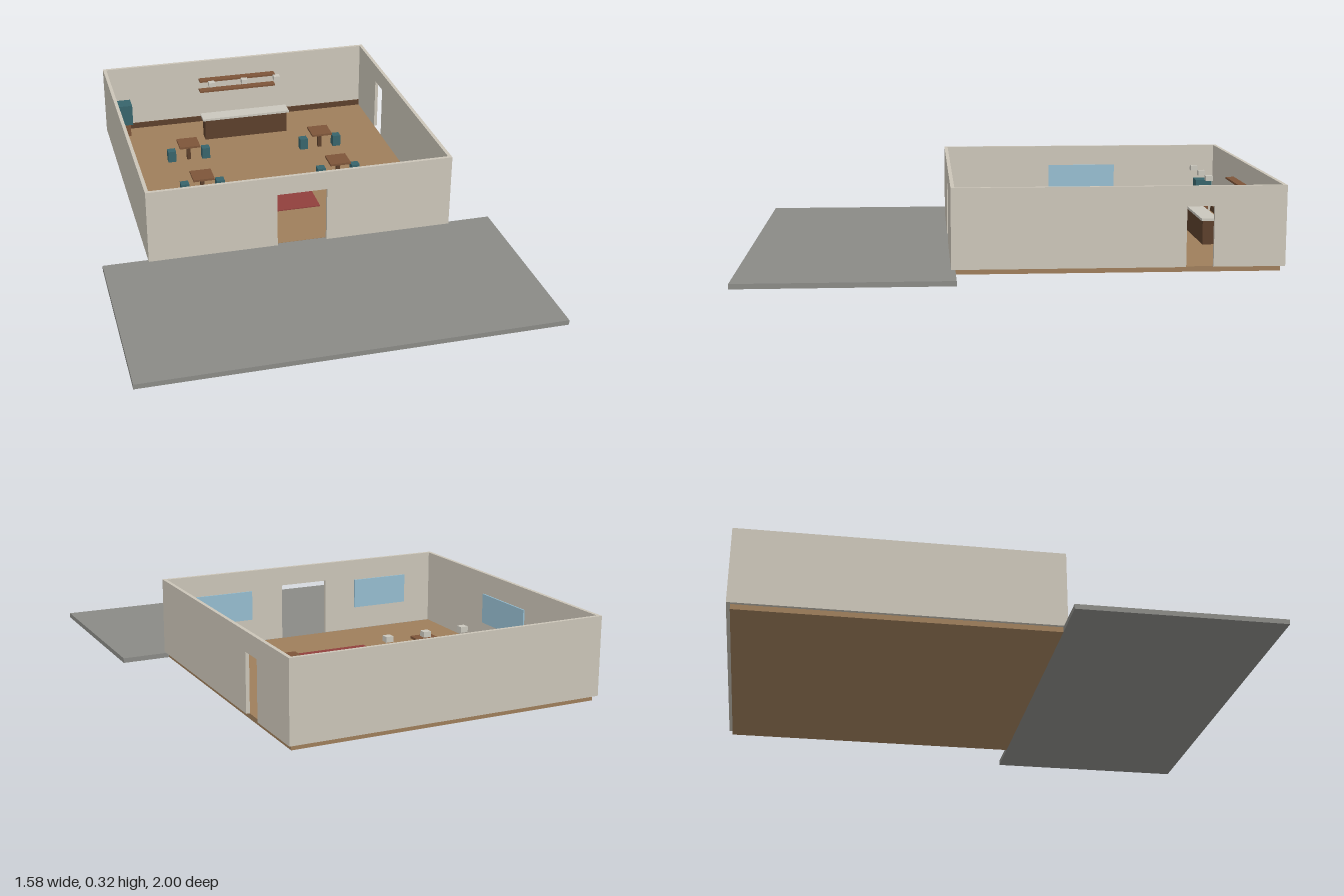
import * as THREE from 'three';

const mat = (name, color) => {
  const m = new THREE.MeshStandardMaterial({ color });
  m.name = name;
  return m;
};

export function createModel() {
  const cream = mat('cream plaster', 0xcbc5b8);
  const paving = mat('grey paving', 0x8a8a86);
  const boards = mat('floor boards', 0x9e7e5b);
  const wood = mat('table wood', 0x7d5539);
  const darkWood = mat('dark wood', 0x5b3f2b);
  const teal = mat('teal paint', 0x37646b);
  const red = mat('red rug', 0x903f3c);
  const glass = mat('window blue', 0x96bdd0);
  const stone = mat('counter stone', 0xcac7bd);

  const model = new THREE.Group();
  model.name = 'cafe';

  // Box given by its extents on each axis
  function box(name, material, [x0, x1], [y0, y1], [z0, z1], parent = model) {
    const mesh = new THREE.Mesh(new THREE.BoxGeometry(x1 - x0, y1 - y0, z1 - z0), material);
    mesh.position.set((x0 + x1) / 2, (y0 + y1) / 2, (z0 + z1) / 2);
    mesh.name = name;
    parent.add(mesh);
    return mesh;
  }
  const around = (c, size) => [c - size / 2, c + size / 2];

  // Ground
  const F = 0.02, TOP = 0.32, DOOR = 0.245;
  box('pavement', paving, [-0.79, 0.79], [0, 0.019], [0.21, 1]);
  box('floor', boards, [-0.6, 0.6], [0, F], [-0.985, 0.21]);
  box('rug', red, [-0.15, 0.147], [F, 0.024], [-0.24, -0.042]);

  // Wall drawn flat, with an optional doorway cut up from its foot
  function wall(name, a, b, door) {
    const pts = [[a, F]];
    if (door) pts.push([door[0], F], [door[0], DOOR], [door[1], DOOR], [door[1], F]);
    pts.push([b, F], [b, TOP], [a, TOP]);
    const shape = new THREE.Shape(pts.map(p => new THREE.Vector2(...p)));
    const geo = new THREE.ExtrudeGeometry(shape, { depth: 0.014, bevelEnabled: false });
    const mesh = new THREE.Mesh(geo, cream);
    mesh.name = name;
    model.add(mesh);
    return mesh;
  }
  wall('frontWall', -0.613, 0.613, [-0.1, 0.1]).position.z = 0.212;
  wall('backWall', -0.613, 0.613).position.z = -1;
  // Side walls: the drawing's horizontal axis becomes -z
  const right = wall('sideDoorWall', -0.212, 0.986, [0.633, 0.734]);
  right.rotation.y = Math.PI / 2;
  right.position.x = 0.599;
  const left = wall('plainSideWall', -0.212, 0.986);
  left.rotation.y = Math.PI / 2;
  left.position.x = -0.613;

  // Baseboard and window panes on the inner walls
  box('baseboard', darkWood, [-0.599, 0.599], [F, 0.045], [-0.987, -0.98]);
  for (const s of [-1, 1]) {
    box('frontWindow', glass, around(s * 0.356, 0.24), [0.115, 0.235], [0.206, 0.2125]);
  }
  box('sideWindow', glass, [-0.6, -0.593], [0.115, 0.235], [-0.535, -0.24]);

  // Serving counter with hanging lamps and shelves behind it
  box('counterBody', darkWood, [-0.19, 0.19], [F, 0.115], [-0.835, -0.78]);
  box('counterTop', stone, [-0.2, 0.2], [0.115, 0.125], [-0.842, -0.774]);
  for (const x of [-0.15, 0, 0.15]) {
    box('lamp', stone, around(x, 0.028), around(0.28, 0.02), around(-0.808, 0.028));
  }
  for (const y of [0.181, 0.232]) {
    box('shelf', wood, [-0.178, 0.178], around(y, 0.008), [-0.986, -0.95]);
  }

  // Corner cabinet on a plinth
  box('cabinetPlinth', wood, around(-0.538, 0.05), [F, 0.08], around(-0.927, 0.05));
  box('cabinet', teal, around(-0.538, 0.07), [0.08, 0.175], around(-0.927, 0.07));

  // Tables, each with a pedestal and a stool on both sides
  for (const [x, z] of [[-0.3, -0.61], [0.295, -0.59], [-0.3, -0.292], [0.295, -0.292]]) {
    const set = new THREE.Group();
    set.name = 'tableSet';
    set.position.set(x, 0, z);
    model.add(set);
    const h = 0.045;
    box('tableTop', wood, [-h, h], [0.091, 0.1], [-h, h], set);
    box('tableLeg', darkWood, [-0.008, 0.008], [F, 0.091], [-0.008, 0.008], set);
    for (const s of [-1, 1]) {
      box('stool', teal, around(s * 0.076, 0.035), [F, 0.07], around(0, 0.035), set);
    }
  }
  return model;
}
